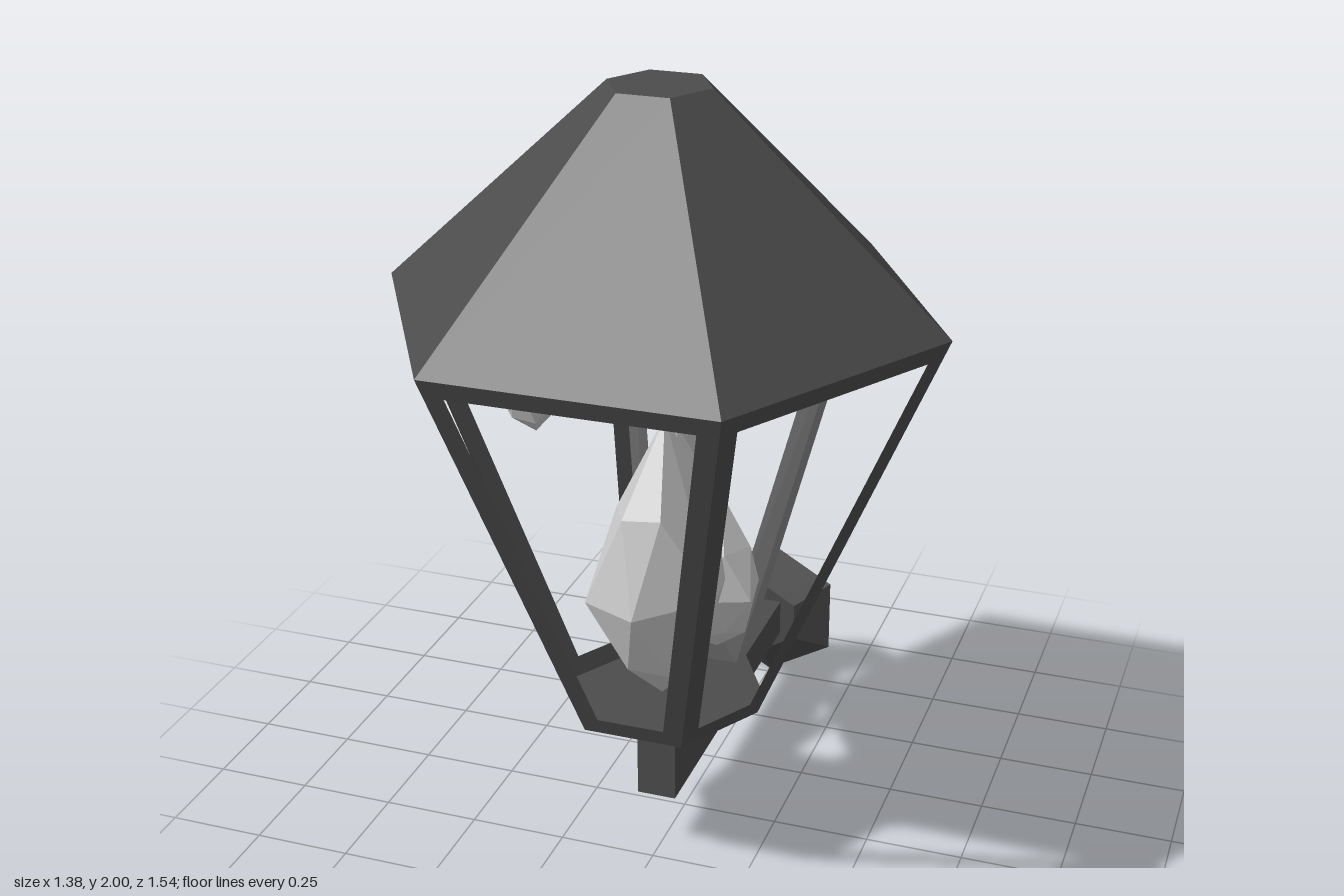
import * as THREE from 'three';
import { ConvexGeometry } from 'three/addons/geometries/ConvexGeometry.js';

const CZ = 0.17; // lantern axis
const metal = new THREE.MeshStandardMaterial({ color: 0x4c4c4c, flatShading: true, side: THREE.DoubleSide });
const flameMat = new THREE.MeshStandardMaterial({ color: 0xcccccc, flatShading: true });

function add(parent, name, geometry, material = metal) {
  const mesh = new THREE.Mesh(geometry, material);
  mesh.name = name;
  parent.add(mesh);
  return mesh;
}

// Flat trapezoid frame between two hexagon edges, with an open middle
function paneFrame(rTop, yTop, rBottom, yBottom, rail, post) {
  const corner = (inset, side, y) => {
    const r = THREE.MathUtils.lerp(rBottom, rTop, (y - yBottom) / (yTop - yBottom));
    return [side * (r / 2 - inset), y, r * Math.sqrt(3) / 2];
  };
  const loop = (inset, dy) => [
    corner(inset, -1, yBottom + dy), corner(inset, 1, yBottom + dy),
    corner(inset, 1, yTop - dy), corner(inset, -1, yTop - dy),
  ];
  const geometry = new THREE.BufferGeometry();
  geometry.setAttribute('position', new THREE.Float32BufferAttribute([...loop(0, 0), ...loop(post, rail)].flat(), 3));
  const index = [];
  for (let i = 0; i < 4; i++) {
    const j = (i + 1) % 4;
    index.push(i, j, 4 + j, i, 4 + j, 4 + i);
  }
  geometry.setIndex(index);
  geometry.computeVertexNormals();
  return geometry;
}

// Faceted teardrop: convex hull of slightly irregular rings
function flame(rx, height, rz, seed) {
  let s = seed;
  const rand = () => ((s = (s * 16807) % 2147483647) / 2147483647);
  const points = [new THREE.Vector3(0, 0, 0), new THREE.Vector3(0.01, height, 0)];
  [[0.15, 0.58], [0.43, 1.0], [0.68, 0.72]].forEach(([t, r], ring) => {
    for (let i = 0; i < 6; i++) {
      const a = (i + ring / 2 + (rand() - 0.5) * 0.3) * Math.PI / 3;
      const k = r * (0.92 + rand() * 0.14);
      const y = height * (t + (rand() - 0.5) * 0.1);
      points.push(new THREE.Vector3(Math.cos(a) * rx * k, y, Math.sin(a) * rz * k));
    }
  });
  return new ConvexGeometry(points);
}

export function createModel() {
  const model = new THREE.Group();
  model.name = 'wallLantern';
  const lantern = new THREE.Group();
  lantern.name = 'lantern';
  lantern.position.z = CZ;
  model.add(lantern);

  // Hollow roof with a small flat cap
  add(lantern, 'roof', new THREE.CylinderGeometry(0.126, 0.69, 0.525, 6, 1, true)
    .rotateY(Math.PI / 6).translate(0, 1.7375, 0));
  add(lantern, 'roofCap', new THREE.CircleGeometry(0.126, 6).rotateX(-Math.PI / 2).translate(0, 2, 0));

  // Six open panes and the floor
  for (let i = 0; i < 6; i++) {
    add(lantern, 'paneFrame', paneFrame(0.69, 1.475, 0.25, 0.43, 0.045, 0.05)).rotation.y = i * Math.PI / 3;
  }
  add(lantern, 'floor', new THREE.CircleGeometry(0.25, 6).rotateX(-Math.PI / 2).translate(0, 0.43, 0));

  // L-shaped square arm
  const outline = [[-0.22, 0.165], [0.71, 0.165], [0.71, 0.265], [-0.12, 0.265], [-0.12, 0.43], [-0.22, 0.43]];
  const arm = new THREE.Shape(outline.map(([x, y]) => new THREE.Vector2(x, y)));
  add(model, 'arm', new THREE.ExtrudeGeometry(arm, { depth: 0.1, bevelEnabled: false })
    .translate(0, 0, -0.05).rotateY(Math.PI / 2));

  // Wall plate, tapering toward the arm
  add(model, 'wallPlate', new THREE.CylinderGeometry(0.105, 0.206, 0.07, 6)
    .rotateX(Math.PI / 2).translate(0, 0.206, -0.735));

  // Flame pieces: x, y, z of the lower tip, then half width, height, half depth
  [
    ['largeFlame', 0.01, 0.46, 0.2, 0.18, 0.75, 0.21, 11],
    ['rearFlame', 0.03, 0.965, -0.015, 0.125, 0.445, 0.125, 23],
    ['upperFlame', -0.28, 1.16, 0.27, 0.125, 0.445, 0.12, 37],
    ['sideFlame', 0.12, 0.56, 0.1, 0.115, 0.42, 0.11, 53],
  ].forEach(([name, x, y, z, rx, h, rz, seed]) => {
    add(model, name, flame(rx, h, rz, seed), flameMat).position.set(x, y, z);
  });

  return model;
}
